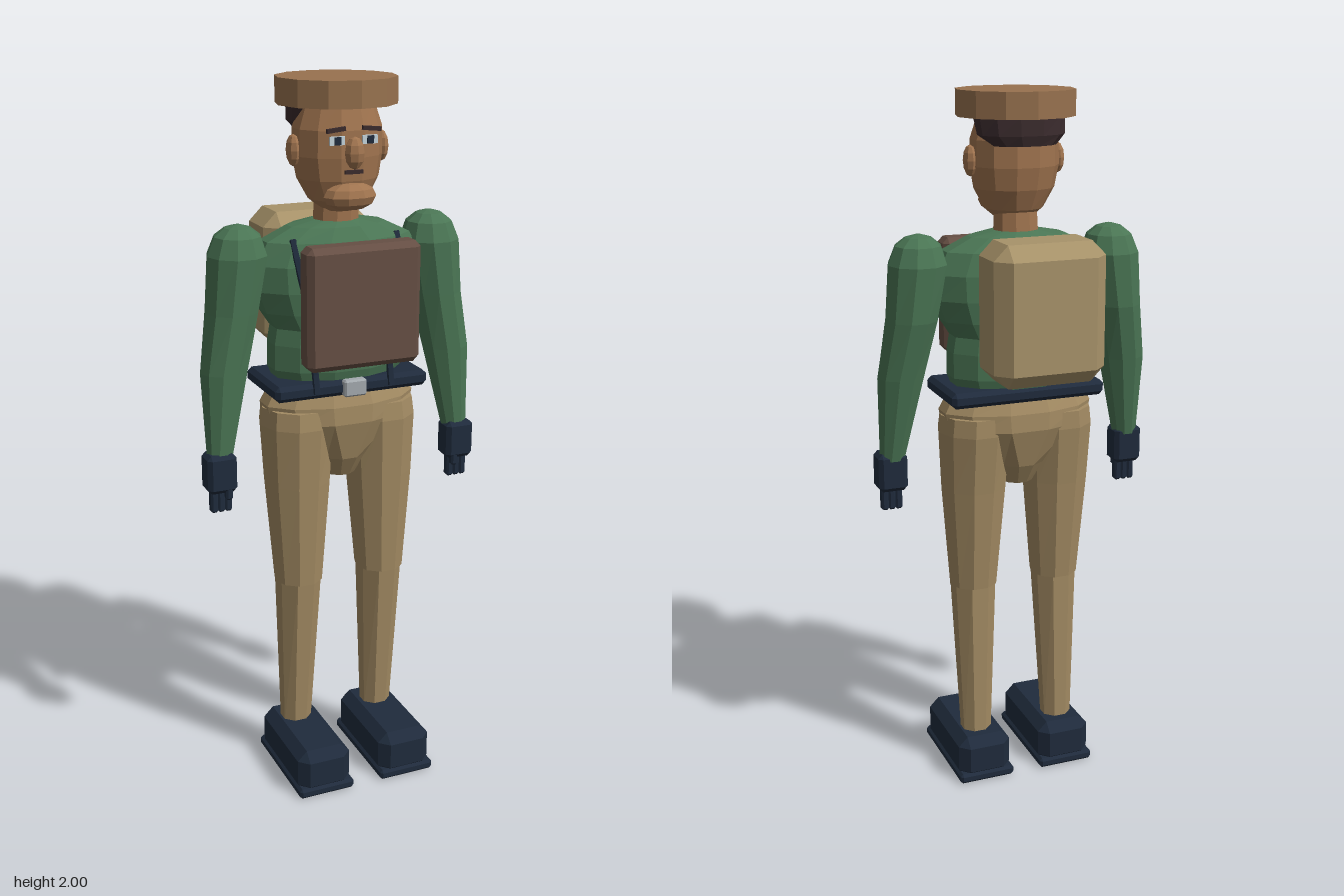
import * as THREE from 'three';
import { ConvexGeometry } from 'three/addons/geometries/ConvexGeometry.js';

const mat = (name, color) => {
  const m = new THREE.MeshStandardMaterial({ color });
  m.name = name;
  return m;
};

// Faceted loft through elliptical rings [y, cx, cz, rx, rz], bottom to top
function loft(rings, sides, turn = 0) {
  const pos = [];
  const pt = (i, j) => {
    const [y, cx, cz, rx, rz] = rings[i];
    const a = ((j + turn) / sides) * Math.PI * 2;
    return [cx + rx * Math.cos(a), y, cz + rz * Math.sin(a)];
  };
  const tri = (...p) => p.forEach((q) => pos.push(...q));
  const top = rings.length - 1;
  const mid = (i) => [rings[i][1], rings[i][0], rings[i][2]];
  for (let j = 0; j < sides; j++) {
    for (let i = 0; i < top; i++) {
      tri(pt(i, j), pt(i + 1, j), pt(i, j + 1));
      tri(pt(i, j + 1), pt(i + 1, j), pt(i + 1, j + 1));
    }
    tri(mid(0), pt(0, j), pt(0, j + 1));
    tri(mid(top), pt(top, j + 1), pt(top, j));
  }
  const g = new THREE.BufferGeometry();
  g.setAttribute('position', new THREE.Float32BufferAttribute(pos, 3));
  g.computeVertexNormals();
  return g;
}

// Box with every edge bevelled by c, given by its two extreme corners
function bevelBox([x0, y0, z0], [x1, y1, z1], c) {
  const pts = [];
  const h = [(x1 - x0) / 2, (y1 - y0) / 2, (z1 - z0) / 2];
  for (const sx of [-1, 1]) for (const sy of [-1, 1]) for (const sz of [-1, 1])
    for (let k = 0; k < 3; k++) {
      const d = h.map((v, i) => (i === k ? v : v - c));
      pts.push(new THREE.Vector3(sx * d[0], sy * d[1], sz * d[2]));
    }
  return new ConvexGeometry(pts).translate((x0 + x1) / 2, (y0 + y1) / 2, (z0 + z1) / 2);
}

const box = (w, h, d, x, y, z) => new THREE.BoxGeometry(w, h, d).translate(x, y, z);

function ball(x, y, z, rx, ry, rz, sides = 8, rows = 6) {
  const g = new THREE.SphereGeometry(1, sides, rows).scale(rx, ry, rz).translate(x, y, z).toNonIndexed();
  g.computeVertexNormals();
  return g;
}

export function createModel() {
  const skin = mat('skin', 0xa0744f);
  const capBrown = mat('capBrown', 0x98724f);
  const hair = mat('hair', 0x3a2b2d);
  const green = mat('greenCloth', 0x4a7554);
  const tan = mat('tanCloth', 0xa38b63);
  const canvas = mat('packCanvas', 0xa8936a);
  const navy = mat('navyLeather', 0x1f2b3c);
  const brown = mat('panelBrown', 0x664f44);
  const metal = mat('buckleMetal', 0xa3a9ae);
  const white = mat('eyeWhite', 0xc4d4dc);

  const model = new THREE.Group();
  const add = (name, geo, m, parent = model) => {
    const mesh = new THREE.Mesh(geo, m);
    mesh.name = name;
    parent.add(mesh);
    return mesh;
  };

  // Head, neck and cap
  add('neck', loft([[1.59, 0, 0.02, 0.066, 0.06], [1.72, 0, 0.025, 0.06, 0.056]], 10), skin);
  add('head', loft([
    [1.655, 0, 0.04, 0.045, 0.045], [1.685, 0, 0.037, 0.082, 0.078], [1.74, 0, 0.033, 0.112, 0.098],
    [1.8, 0, 0.03, 0.123, 0.107], [1.87, 0, 0.03, 0.122, 0.107], [1.935, 0, 0.03, 0.1, 0.09],
  ], 12, 0.5), skin);
  add('cap', loft([[1.93, 0, 0.023, 0.163, 0.163], [2, 0, 0.023, 0.163, 0.163]], 12), capBrown);
  add('hair', loft([
    [1.858, 0, -0.04, 0.09, 0.055], [1.885, 0, -0.02, 0.121, 0.084], [1.932, 0, -0.006, 0.126, 0.098],
  ], 12, 0.5), hair);

  // Face
  add('nose', ball(0, 1.815, 0.145, 0.028, 0.042, 0.025), skin);
  add('chin', ball(0, 1.7, 0.115, 0.075, 0.038, 0.05, 10), skin);
  add('mouth', box(0.05, 0.01, 0.008, 0, 1.766, 0.14), hair);

  for (const s of [-1, 1]) {
    const side = s > 0 ? 'left' : 'right';
    add(side + 'Ear', ball(s * 0.126, 1.815, 0.033, 0.019, 0.042, 0.028), skin);
    add(side + 'Eye', box(0.042, 0.022, 0.008, s * 0.046, 1.847, 0.136), white);
    add(side + 'Pupil', box(0.018, 0.02, 0.006, s * 0.046, 1.847, 0.141), navy);
    const brow = add(side + 'Brow', box(0.052, 0.011, 0.009, 0, 0, 0), hair);
    brow.position.set(s * 0.05, 1.875, 0.139);
    brow.rotation.z = -s * 0.1;

    // Arm with rounded shoulder
    add(side + 'Arm', loft([
      [1.0, s * 0.358, 0.055, 0.036, 0.034], [1.24, s * 0.333, 0.035, 0.067, 0.062],
      [1.4, s * 0.303, 0.022, 0.073, 0.08], [1.55, s * 0.283, 0.02, 0.083, 0.085],
      [1.6, s * 0.281, 0.02, 0.064, 0.066], [1.622, s * 0.28, 0.02, 0.036, 0.038],
      [1.63, s * 0.28, 0.02, 0.008, 0.008],
    ], 10), green);

    // Glove: palm, fingers and thumb
    const glove = new THREE.Group();
    glove.name = side + 'Glove';
    model.add(glove);
    add('palm', bevelBox([s * 0.362 - 0.042, 0.91, 0.025], [s * 0.362 + 0.042, 1.02, 0.098], 0.012), navy, glove);
    for (let i = -1; i <= 1; i++)
      add('finger', bevelBox([s * 0.362 + i * 0.02 - 0.01, 0.85, 0.05], [s * 0.362 + i * 0.02 + 0.01, 0.93, 0.077], 0.005), navy, glove);
    add('thumb', bevelBox([s * 0.345 - 0.01, 0.89, 0.075], [s * 0.345 + 0.01, 0.95, 0.097], 0.005), navy, glove);

    // Trouser leg
    add(side + 'Thigh', loft([
      [0.6, s * 0.127, 0.043, 0.07, 0.074], [0.9, s * 0.126, 0.036, 0.095, 0.098],
      [1.07, s * 0.124, 0.03, 0.104, 0.114], [1.12, s * 0.122, 0.028, 0.1, 0.11],
    ], 10), tan);
    add(side + 'Shin', loft([
      [0.12, s * 0.13, 0.022, 0.045, 0.042], [0.61, s * 0.127, 0.043, 0.066, 0.07],
    ], 8, 0.5), tan);

    // Shoe on a slightly wider sole
    add(side + 'Sole', bevelBox([s * 0.127 - 0.084, 0, -0.074], [s * 0.127 + 0.084, 0.03, 0.262], 0.008), navy);
    add(side + 'Shoe', bevelBox([s * 0.127 - 0.08, 0.005, -0.07], [s * 0.127 + 0.08, 0.137, 0.258], 0.028), navy);

    // Shoulder strap following the chest
    const path = new THREE.CatmullRomCurve3([
      [0.11, 1.18, 0.152], [0.112, 1.27, 0.135], [0.13, 1.42, 0.138], [0.148, 1.53, 0.115], [0.15, 1.59, 0.085],
    ].map(([x, y, z]) => new THREE.Vector3(s * x, y, z)));
    const strap = new THREE.TubeGeometry(path, 8, 0.01, 5).toNonIndexed();
    strap.computeVertexNormals();
    add(side + 'Strap', strap, navy);
  }

  // Torso
  add('torso', loft([
    [1.18, 0, 0.025, 0.18, 0.105], [1.23, 0, 0.025, 0.2, 0.118], [1.3, 0, 0.025, 0.2, 0.118],
    [1.345, 0, 0.025, 0.192, 0.113], [1.39, 0, 0.023, 0.222, 0.122], [1.45, 0, 0.023, 0.245, 0.126],
    [1.52, 0, 0.022, 0.248, 0.122], [1.58, 0, 0.02, 0.215, 0.106], [1.615, 0, 0.02, 0.14, 0.082],
    [1.628, 0, 0.02, 0.07, 0.058],
  ], 12, 0.5), green);

  // Hips and crotch
  add('hips', loft([
    [0.91, 0, 0.03, 0.05, 0.06], [0.97, 0, 0.03, 0.085, 0.095], [1.08, 0, 0.028, 0.215, 0.125],
    [1.13, 0, 0.028, 0.226, 0.122], [1.168, 0, 0.028, 0.205, 0.108],
  ], 12, 0.5), tan);

  // Belt and buckle
  add('belt', bevelBox([-0.225, 1.163, -0.09], [0.225, 1.207, 0.147], 0.012), navy);
  add('buckle', bevelBox([-0.033, 1.163, 0.135], [0.033, 1.21, 0.163], 0.005), metal);

  // Chest panel and backpack
  add('chestPanel', bevelBox([-0.162, 1.26, 0.152], [0.162, 1.59, 0.226], 0.016), brown);
  add('backpack', bevelBox([-0.158, 1.247, -0.266], [0.158, 1.627, -0.077], 0.04), canvas);

  return model;
}
